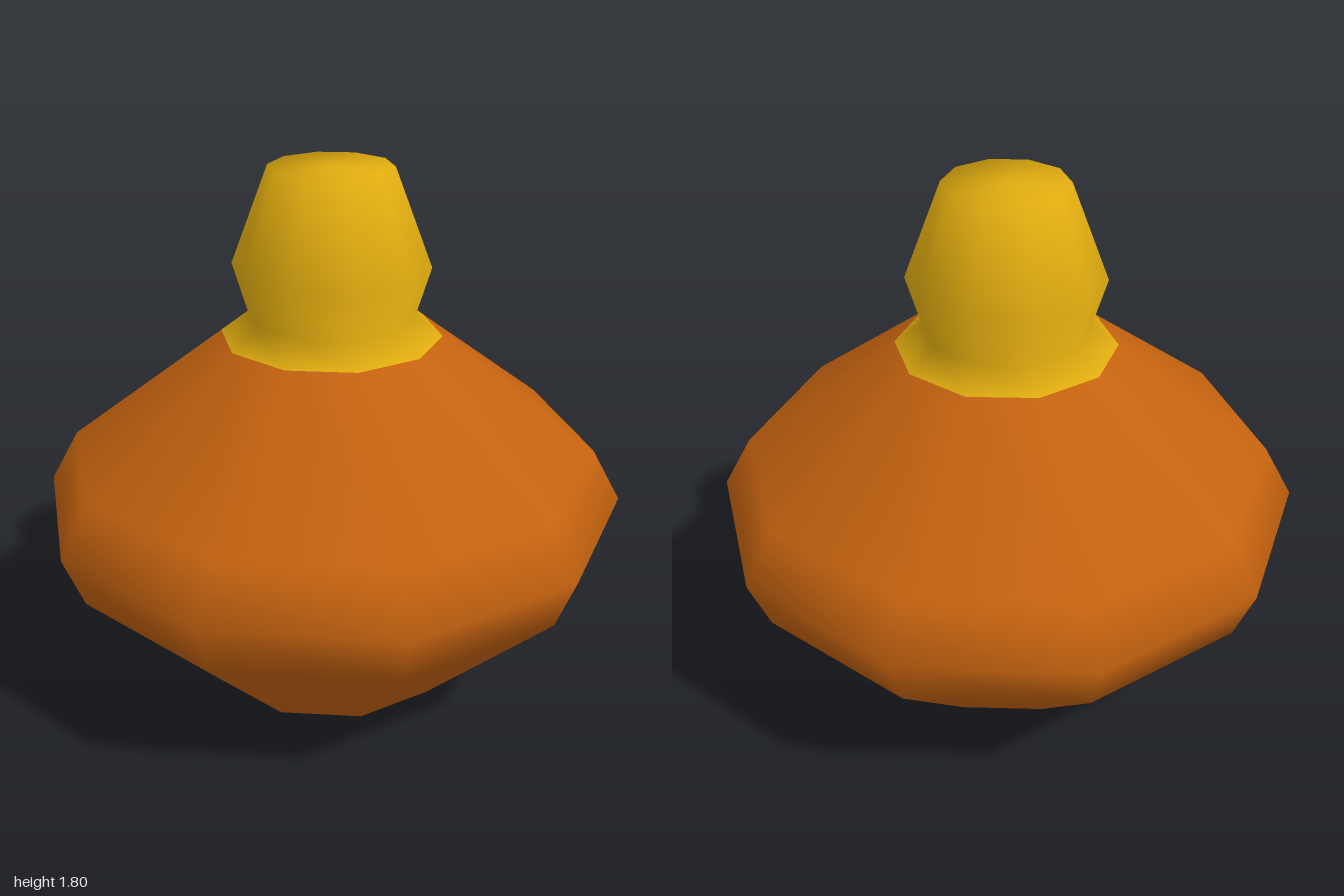
import * as THREE from 'three';

const SIDES = 10;

export function createModel() {
  const group = new THREE.Group();
  const orange = new THREE.MeshStandardMaterial({ color: 0xc4620f });
  orange.name = 'burnt orange';
  const gold = new THREE.MeshStandardMaterial({ color: 0xdfab0f });
  gold.name = 'gold';

  const add = (name, geometry, material) => {
    const mesh = new THREE.Mesh(geometry, material);
    mesh.name = name;
    group.add(mesh);
    return mesh;
  };

  // Ten-sided smooth turning with a corner on the x axis
  const turn = (profile) => {
    const points = profile.map(([r, y]) => new THREE.Vector2(r, y));
    const geometry = new THREE.LatheGeometry(points, SIDES, Math.PI / 2);
    geometry.normalizeNormals();
    return geometry;
  };

  // Wide body, up to the colour change on the shoulder
  add('body', turn([[0.445, 0], [0.93, 0.48], [1, 0.66], [0.9, 0.84], [0.372, 1.24]]), orange);

  // Collar, neck and softly shaded flat top
  add('neck', turn([[0.372, 1.24], [0.28, 1.31], [0.33, 1.475], [0.205, 1.804], [0, 1.804]]), gold);

  // Flat underside with a hard edge
  add('base', new THREE.CircleGeometry(0.445, SIDES).rotateX(Math.PI / 2), orange);

  return group;
}
